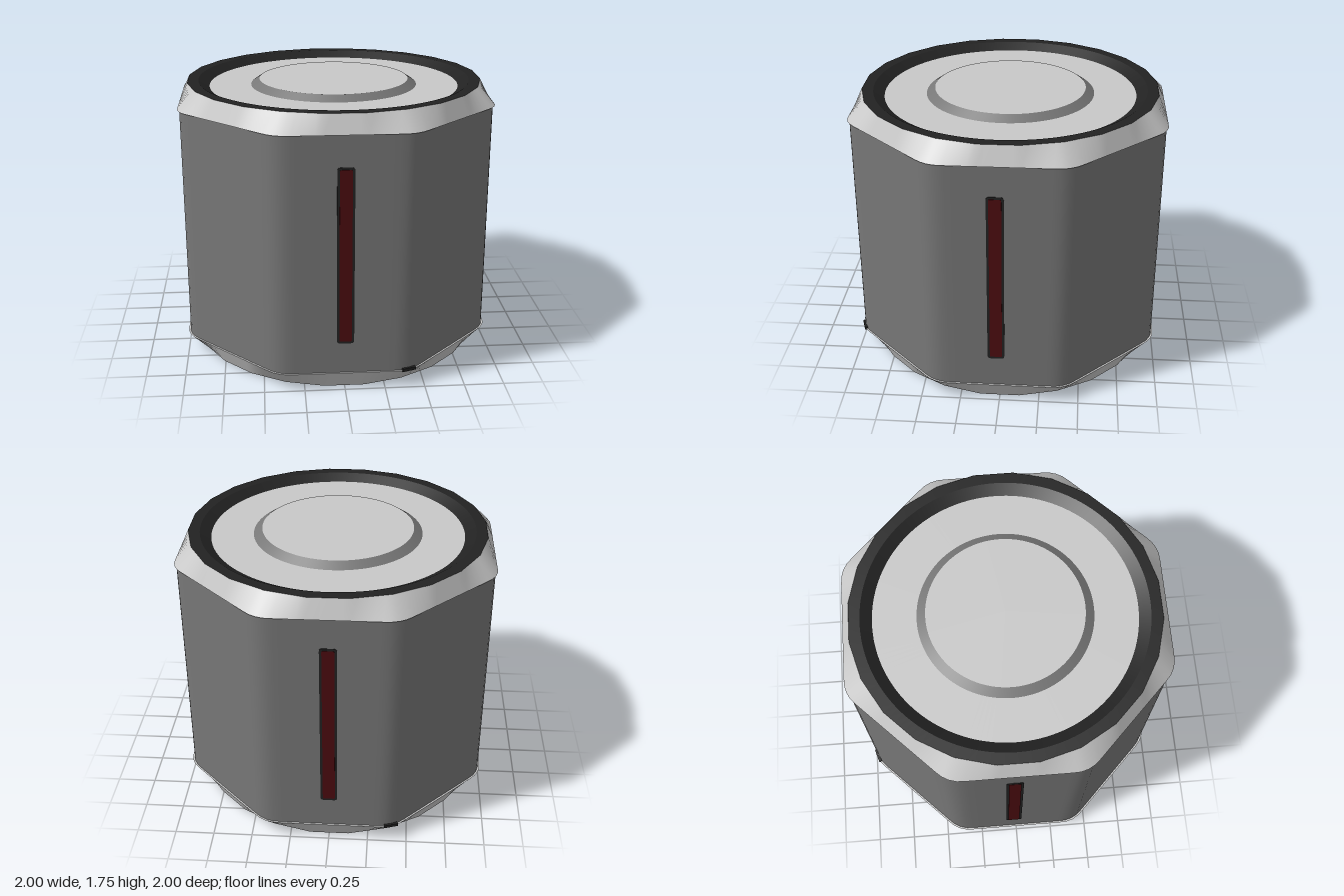
import * as THREE from 'three';

const H = 1.755, LIP = 1.64, SEG = 144;

function material(name, color) {
  const m = new THREE.MeshStandardMaterial({ color });
  m.name = name;
  return m;
}

// Outline functions: radius at an angle
const circle = r => () => r;
const sector = (t, n) => {
  const s = 2 * Math.PI / n;
  return t - Math.round(t / s) * s;
};
const polygon = (apothem, n) => t => apothem / Math.cos(sector(t, n));
const roundedOctagon = (apothem, r) => t => {
  const half = Math.PI / 8, a = Math.abs(sector(t, 8));
  if (Math.tan(a) < (apothem - r) * Math.tan(half) / apothem) return apothem / Math.cos(a);
  const d = (apothem - r) / Math.cos(half), b = half - a;
  return d * Math.cos(b) + Math.sqrt(r * r - (d * Math.sin(b)) ** 2);
};

// Smooth surface between two outlines at two heights
function band(name, mat, f0, y0, f1, y1) {
  const pos = [], index = [];
  for (let i = 0; i < SEG; i++) {
    const t = i / SEG * Math.PI * 2, j = (i + 1) % SEG;
    for (const [f, y] of [[f0, y0], [f1, y1]]) pos.push(f(t) * Math.sin(t), y, f(t) * Math.cos(t));
    index.push(2 * i, 2 * j, 2 * j + 1, 2 * i, 2 * j + 1, 2 * i + 1);
  }
  const g = new THREE.BufferGeometry();
  g.setAttribute('position', new THREE.Float32BufferAttribute(pos, 3));
  g.setIndex(index);
  g.computeVertexNormals();
  const mesh = new THREE.Mesh(g, mat);
  mesh.name = name;
  return mesh;
}

// Thin upright plate with rounded corners
function plate(name, mat, w, h, r, depth) {
  const x = w / 2, y = h / 2, s = new THREE.Shape();
  s.moveTo(-x + r, -y);
  s.lineTo(x - r, -y).quadraticCurveTo(x, -y, x, -y + r);
  s.lineTo(x, y - r).quadraticCurveTo(x, y, x - r, y);
  s.lineTo(-x + r, y).quadraticCurveTo(-x, y, -x, y - r);
  s.lineTo(-x, -y + r).quadraticCurveTo(-x, -y, -x + r, -y);
  const mesh = new THREE.Mesh(new THREE.ExtrudeGeometry(s, { depth, bevelEnabled: false, curveSegments: 4 }), mat);
  mesh.name = name;
  return mesh;
}

export function createModel() {
  const grey = material('body grey', 0x777777);
  const light = material('light metal', 0xc8c8c8);
  const black = material('black rubber', 0x222222);
  const red = material('dark red', 0x4d0c10);

  const model = new THREE.Group();
  model.name = 'canister';

  // Octagonal body
  const side = roundedOctagon(0.988, 0.2), lip = roundedOctagon(1, 0.2);
  model.add(band('body', grey, side, H - LIP, side, LIP));

  // Matching end caps, the lower one turned over
  const rim = polygon(0.947, 24);
  for (const end of ['top', 'bottom']) {
    const cap = new THREE.Group();
    cap.name = end + 'Cap';
    cap.add(
      band('lip', light, side, LIP, lip, LIP),
      band('bevel', light, lip, LIP, rim, H),
      band('sealRim', black, rim, H, circle(0.88), H),
      band('sealSlope', black, circle(0.88), H, circle(0.81), 1.715),
      band('endPlate', light, circle(0.81), 1.715, circle(0.54), 1.715),
      band('bossSlope', grey, circle(0.54), 1.715, circle(0.485), 1.752),
      band('bossTop', light, circle(0.485), 1.752, circle(0), 1.752)
    );
    if (end === 'bottom') {
      cap.rotation.x = Math.PI;
      cap.position.y = H;
    }
    model.add(cap);
  }

  // Indicator strips on the four main sides
  for (let i = 0; i < 4; i++) {
    const strip = new THREE.Group();
    strip.name = 'indicatorStrip';
    const frame = plate('stripFrame', black, 0.105, 1.13, 0.02, 0.005);
    frame.position.set(0, 0.88, 0.986);
    const lamp = plate('stripLamp', red, 0.076, 1.1, 0.008, 0.005);
    lamp.position.set(0, 0.88, 0.989);
    frame.position.x = lamp.position.x = i % 2 ? -0.02 : 0.002;
    strip.add(frame, lamp);
    strip.rotation.y = i * Math.PI / 2;
    model.add(strip);
  }

  // Small dark tabs on two opposite lower corners
  for (const s of [1, -1]) {
    const tab = new THREE.Mesh(new THREE.BoxGeometry(0.09, 0.02, 0.04), black);
    tab.name = 'cornerTab';
    tab.position.set(0.395 * s, 0.117, 0.968 * s);
    tab.rotation.y = Math.PI / 10;
    model.add(tab);
  }
  return model;
}
